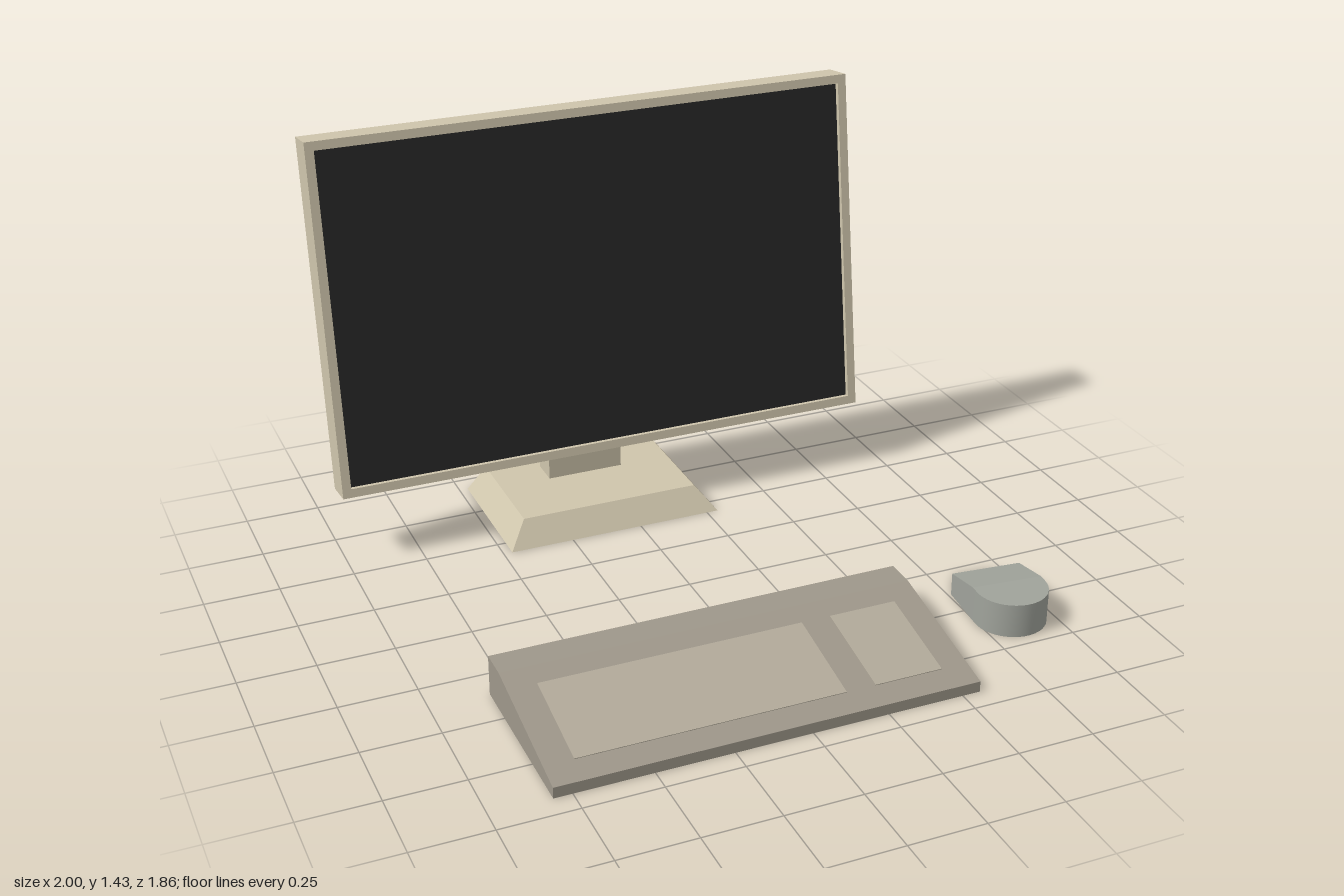
import * as THREE from 'three';
import { toCreasedNormals } from 'three/addons/utils/BufferGeometryUtils.js';
import { ConvexGeometry } from 'three/addons/geometries/ConvexGeometry.js';

const material = (color) => new THREE.MeshStandardMaterial({ color });
const casing = material(0xcfc5ac);
const glass = material(0x262626);
const keyboardGrey = material(0x9e978a);
const keyGrey = material(0xb2aa9a);
const mouseGrey = material(0xa0a39b);

function add(parent, name, geometry, mat, x = 0, y = 0, z = 0) {
  const mesh = new THREE.Mesh(geometry, mat);
  mesh.name = name;
  mesh.position.set(x, y, z);
  parent.add(mesh);
  return mesh;
}

// Side profile of [z, y] points, extruded along x and centred
function extrudeAcross(profile, width) {
  const shape = new THREE.Shape(profile.map(([z, y]) => new THREE.Vector2(-z, y)));
  return new THREE.ExtrudeGeometry(shape, { depth: width, bevelEnabled: false })
    .translate(0, 0, -width / 2)
    .rotateY(Math.PI / 2);
}

function rectangle(target, w, h) {
  return target.moveTo(-w / 2, -h / 2).lineTo(w / 2, -h / 2)
    .lineTo(w / 2, h / 2).lineTo(-w / 2, h / 2).closePath();
}

// Rectangular cross-sections [z, halfWidth, height] joined from front to back
function loft(sections) {
  const positions = [];
  const corners = ([z, w, h]) => [[-w, 0, z], [w, 0, z], [w, h, z], [-w, h, z]];
  for (let i = 0; i < sections.length - 1; i++) {
    const a = corners(sections[i]);
    const b = corners(sections[i + 1]);
    for (let k = 0; k < 4; k++) {
      const n = (k + 1) % 4;
      for (const p of [a[k], b[n], a[n], a[k], b[k], b[n]]) positions.push(...p);
    }
  }
  const geometry = new THREE.BufferGeometry();
  geometry.setAttribute('position', new THREE.Float32BufferAttribute(positions, 3));
  return toCreasedNormals(geometry, 0.2);
}

function createMonitor() {
  const monitor = new THREE.Group();
  monitor.name = 'monitor';

  // Tilted display with a recessed screen
  const display = new THREE.Group();
  display.name = 'display';
  display.position.set(-0.05, 0.828, -0.716);
  display.rotation.x = -0.138;
  monitor.add(display);
  const w = 1.9, h = 1.197, depth = 0.118, border = 0.03, recess = 0.02;
  const bezel = rectangle(new THREE.Shape(), w, h);
  bezel.holes.push(rectangle(new THREE.Path(), w - 2 * border, h - 2 * border));
  add(display, 'bezel', new THREE.ExtrudeGeometry(bezel, { depth: recess, bevelEnabled: false }),
    casing, 0, 0, depth / 2 - recess);
  add(display, 'displayHousing', new THREE.BoxGeometry(w, h, depth - recess), casing, 0, 0, -recess / 2);
  add(display, 'screen', new THREE.PlaneGeometry(w - 2 * border, h - 2 * border),
    glass, 0, 0, depth / 2 - recess + 0.002);

  // Upright stem with a sloped top and an arm reaching into the housing
  add(monitor, 'stem', extrudeAcross([
    [-0.735, 0.08], [-0.735, 0.45], [-0.7, 0.45], [-0.72, 0.58],
    [-0.765, 0.58], [-0.835, 0.505], [-0.835, 0.08],
  ], 0.27), casing, -0.09);

  // Foot with sloping sides
  const foot = [];
  for (const side of [-1, 1]) {
    for (const [x, y, z] of [[0.38, 0, -0.43], [0.38, 0, -0.93], [0.315, 0.085, -0.49], [0.315, 0.085, -0.91]]) {
      foot.push(new THREE.Vector3(side * x, y, z));
    }
  }
  add(monitor, 'foot', new ConvexGeometry(foot), casing, -0.09);
  return monitor;
}

function createKeyboard() {
  const keyboard = new THREE.Group();
  keyboard.name = 'keyboard';
  add(keyboard, 'keyboardBody', extrudeAcross([
    [0.927, 0], [0.927, 0.036], [0.46, 0.135], [0.36, 0.135], [0.36, 0],
  ], 1.367), keyboardGrey, -0.125);

  // Key areas lying on the slope
  for (const [name, x0, x1] of [['mainKeys', -0.715, 0.148], ['numberKeys', 0.245, 0.47]]) {
    const keys = add(keyboard, name, new THREE.BoxGeometry(x1 - x0, 0.006, 0.317),
      keyGrey, (x0 + x1) / 2, 0.0855, 0.69);
    keys.rotation.x = Math.atan2(0.099, 0.467);
  }
  return keyboard;
}

function createMouse() {
  // Round at the front, flat on top, then tapering down to the back edge
  const radius = 0.119, steps = 20;
  const sections = [];
  for (let i = 0; i <= steps / 2; i++) {
    const a = (i / steps) * Math.PI;
    sections.push([radius * Math.cos(a), radius * Math.sin(a), 0.115]);
  }
  sections.push([-0.03, radius, 0.115], [-0.187, radius, 0.078], [-0.3, 0.059, 0]);
  const mouse = new THREE.Mesh(loft(sections), mouseGrey);
  mouse.name = 'mouse';
  mouse.position.set(0.861, 0, 0.592);
  mouse.rotation.y = -0.1;
  return mouse;
}

export function createModel() {
  const model = new THREE.Group();
  model.name = 'desktopComputer';
  model.add(createMonitor(), createKeyboard(), createMouse());
  return model;
}
